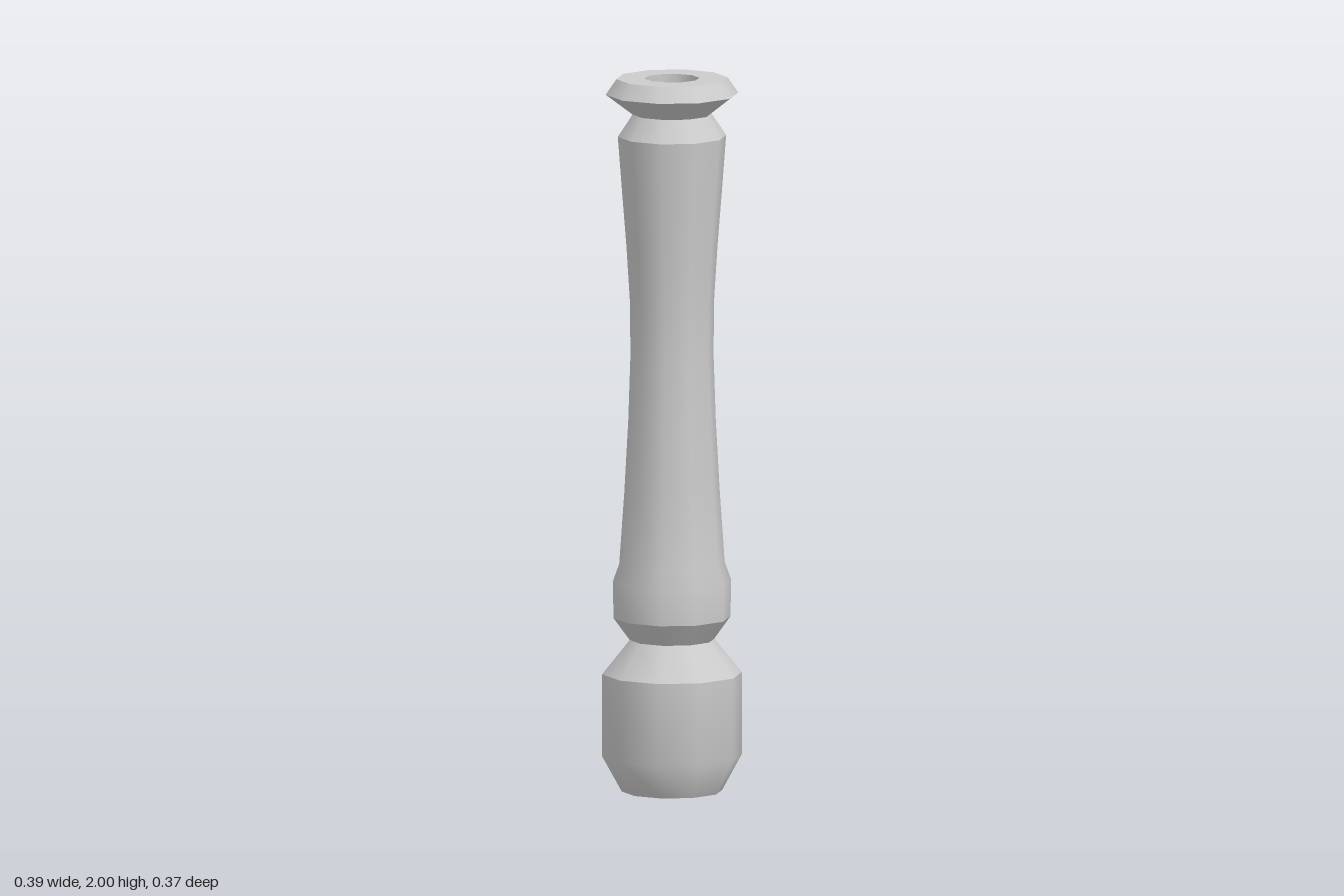
import * as THREE from 'three';

const SIDES = 10;

// Profile runs [radius, height] from the underside, up the outside and down into the socket.
// Each section is smooth within itself; the joins between sections stay sharp.
const SECTIONS = {
  footUnderside: [[0, 0], [0.14, 0]],
  foot: [[0.14, 0], [0.195, 0.1], [0.195, 0.33]],
  footShoulder: [[0.195, 0.33], [0.118, 0.425]],
  collarUnderside: [[0.118, 0.425], [0.163, 0.487]],
  collarAndShaft: [
    [0.163, 0.487], [0.165, 0.59], [0.147, 0.64], [0.133, 0.84], [0.122, 1.04],
    [0.116, 1.22], [0.117, 1.37], [0.127, 1.53], [0.139, 1.68], [0.151, 1.838],
  ],
  neckShoulder: [[0.151, 1.838], [0.11, 1.9]],
  rimUnderside: [[0.11, 1.9], [0.185, 1.957]],
  rim: [[0.185, 1.957], [0.155, 2]],
  topFace: [[0.155, 2], [0.076, 2]],
  socketWall: [[0.076, 2], [0.076, 1.85]],
  socketFloor: [[0.076, 1.85], [0, 1.85]],
};

export function createModel() {
  const group = new THREE.Group();
  group.name = 'turnedPost';
  const material = new THREE.MeshStandardMaterial({ color: 0xcccccc });

  for (const [name, points] of Object.entries(SECTIONS)) {
    const profile = points.map(([r, y]) => new THREE.Vector2(r, y));
    // Start a quarter turn round so that corners lie on the x axis
    const geometry = new THREE.LatheGeometry(profile, SIDES, Math.PI / 2);
    const mesh = new THREE.Mesh(geometry, material);
    mesh.name = name;
    group.add(mesh);
  }
  return group;
}
